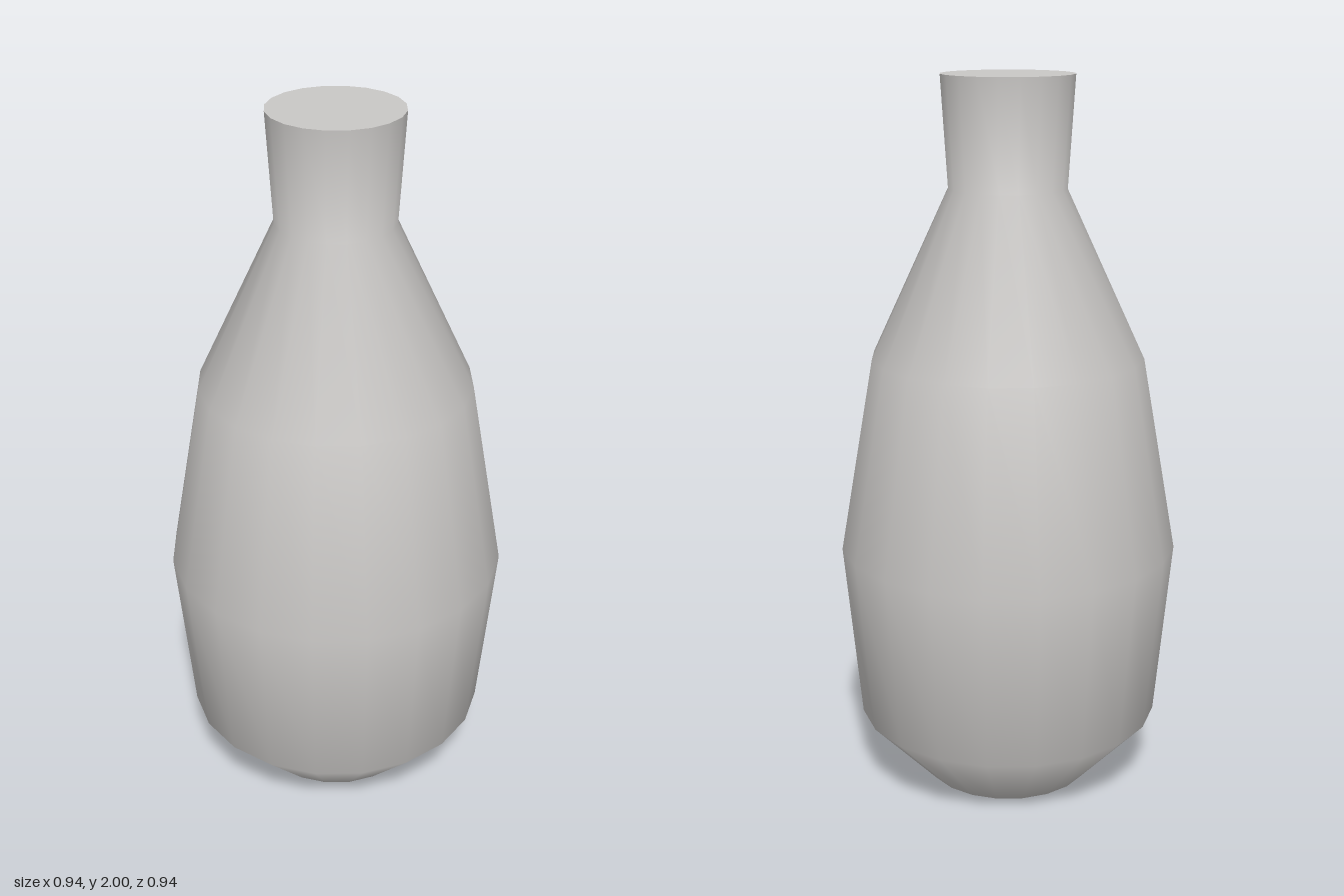
import * as THREE from 'three';

const SIDES = 20;

export function createModel() {
  const group = new THREE.Group();
  group.name = 'bottle';
  const clay = new THREE.MeshStandardMaterial({ color: 0xcac8c6 });
  clay.name = 'warm grey';

  // Radius and height of each ring, from foot to lip
  const profile = [
    [0.235, 0], [0.425, 0.2], [0.472, 0.7], [0.377, 1.24], [0.162, 1.7], [0.181, 2],
  ].map(([r, y]) => new THREE.Vector2(r, y));

  // Smooth turned wall
  const body = new THREE.Mesh(new THREE.LatheGeometry(profile, SIDES), clay);
  body.name = 'body';
  group.add(body);

  // Flat discs closing both ends
  const addDisc = (name, ring, tilt) => {
    const disc = new THREE.Mesh(new THREE.CircleGeometry(ring.x, SIDES), clay);
    disc.name = name;
    disc.rotation.x = tilt;
    disc.position.y = ring.y;
    group.add(disc);
  };
  addDisc('base', profile[0], Math.PI / 2);
  addDisc('mouth', profile[profile.length - 1], -Math.PI / 2);

  return group;
}
